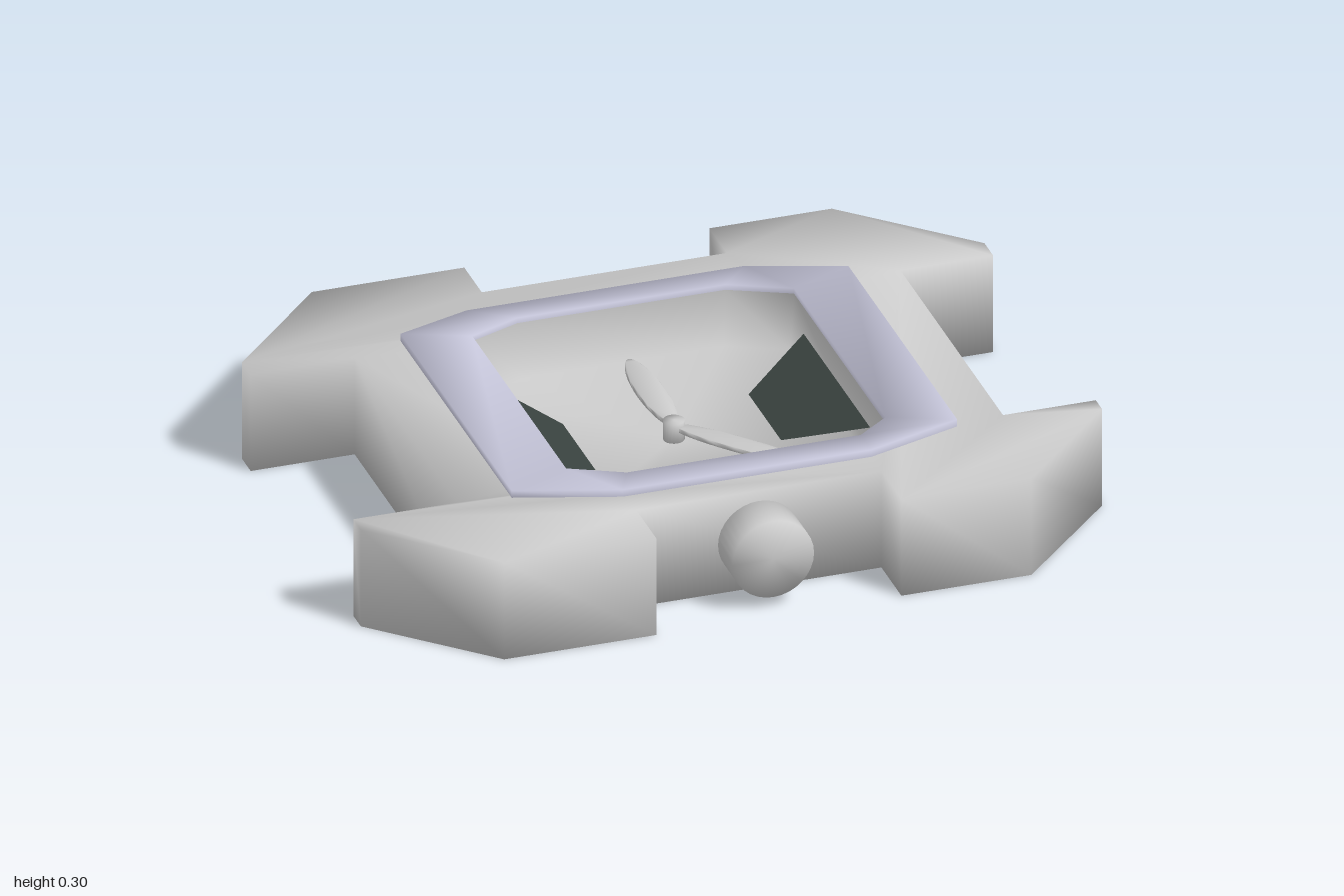
import * as THREE from 'three';
import { mergeGeometries } from 'three/addons/utils/BufferGeometryUtils.js';

const grey = new THREE.MeshStandardMaterial({ color: 0xcccccc });
const bezelMat = new THREE.MeshStandardMaterial({ color: 0xc4c4d8 });
const panelMat = new THREE.MeshStandardMaterial({ color: 0x39423f, side: THREE.DoubleSide });

// Plan outlines as [x, z]
const caseOutline = [
  [-0.71, -0.77], [-0.3, -0.77], [-0.3, -0.63], [0.36, -0.63], [0.36, -0.77], [0.69, -0.77],
  [1, -0.47], [1, -0.4], [0.75, -0.4], [0.75, 0.42], [1, 0.42], [1, 0.47],
  [0.71, 0.765], [0.36, 0.765], [0.36, 0.605], [-0.3, 0.605], [-0.3, 0.765], [-0.71, 0.765],
  [-1, 0.48], [-1, 0.42], [-0.72, 0.42], [-0.72, -0.4], [-1, -0.4], [-1, -0.47],
];
const bezelOuter = [
  [-0.58, -0.45], [-0.38, -0.515], [0.37, -0.515], [0.62, -0.43],
  [0.62, 0.44], [0.36, 0.525], [-0.31, 0.525], [-0.58, 0.44],
];
const bezelInner = [
  [-0.41, -0.38], [-0.27, -0.435], [0.29, -0.435], [0.45, -0.36],
  [0.45, 0.37], [0.36, 0.44], [-0.27, 0.44], [-0.41, 0.37],
];

const toPoints = (list) => list.map(([x, z]) => new THREE.Vector2(x, z));
const scaled = (list, s) => list.map(([x, z]) => [x * s, z * s]);

// Join pieces into one skin whose normals are shared at every corner
function smooth(...pieces) {
  const g = mergeGeometries(pieces.map((piece) => {
    const flat = piece.toNonIndexed();
    flat.deleteAttribute('uv');
    flat.deleteAttribute('normal');
    return flat;
  }));
  g.computeVertexNormals();
  const { position, normal } = g.attributes;
  const sums = new Map();
  const corners = [];
  for (let i = 0; i < position.count; i++) {
    const key = [position.getX(i), position.getY(i), position.getZ(i)].map((v) => Math.round(v * 1e4)).join();
    if (!sums.has(key)) sums.set(key, new THREE.Vector3());
    corners.push(sums.get(key).add(new THREE.Vector3().fromBufferAttribute(normal, i)));
  }
  corners.forEach((sum, i) => {
    const n = sum.clone().normalize();
    normal.setXYZ(i, n.x, n.y, n.z);
  });
  return g;
}

// Skin through closed rings of equal count; each ring is {pts, y}
function loft(rings) {
  const n = rings[0].pts.length;
  const pos = rings.flatMap(({ pts, y }) => pts.flatMap(([x, z]) => [x, y, z]));
  const idx = [];
  for (let i = 0; i < rings.length - 1; i++) {
    for (let j = 0; j < n; j++) {
      const a = i * n + j, b = i * n + ((j + 1) % n);
      idx.push(a, b + n, b, a, a + n, b + n);
    }
  }
  const g = new THREE.BufferGeometry();
  g.setAttribute('position', new THREE.Float32BufferAttribute(pos, 3));
  g.setIndex(idx);
  return g;
}

// Flat face at height y, facing up or down
function cap(outline, y, up, hole) {
  const shape = new THREE.Shape(toPoints(outline));
  if (hole) shape.holes.push(new THREE.Path(toPoints(hole)));
  const g = new THREE.ShapeGeometry(shape);
  g.rotateX(Math.PI / 2).translate(0, y, 0);
  if (up) g.index.array.reverse();
  return g;
}

// Upright prism between two heights, with an optional opening in its top
function prism(outline, y0, y1, hole) {
  return smooth(
    loft([{ pts: outline, y: y0 }, { pts: outline, y: y1 }]),
    cap(outline, y0, false),
    cap(outline, y1, true, hole),
  );
}

// Leaf-shaped hand from the centre to a tip
function hand(tipX, tipZ, halfWidth, y) {
  const w = halfWidth / Math.hypot(tipX, tipZ);
  const outline = Array.from({ length: 32 }, (_, i) => {
    const t = (i / 32) * Math.PI * 2;
    const along = 0.5 + 0.5 * Math.cos(t), across = w * Math.sin(t);
    return [tipX * along - tipZ * across, tipZ * along + tipX * across];
  });
  return prism(outline, y, y + 0.012);
}

function add(group, name, geometry, material = grey) {
  const mesh = new THREE.Mesh(geometry, material);
  mesh.name = name;
  group.add(mesh);
  return mesh;
}

export function createModel() {
  const model = new THREE.Group();
  model.name = 'watchHead';

  // Case with four lugs and an opening for the dial
  add(model, 'case', prism(caseOutline, 0, 0.28, bezelInner));

  // Dial bowl set into the opening
  add(model, 'dial', smooth(loft([
    { pts: bezelInner, y: 0.285 },
    { pts: scaled(bezelInner, 0.97), y: 0.13 },
    { pts: scaled(bezelInner, 0), y: 0.125 },
  ])));

  // Low flat bezel
  add(model, 'bezel', smooth(loft([
    { pts: bezelOuter, y: 0.275 },
    { pts: bezelOuter, y: 0.3 },
    { pts: bezelInner, y: 0.3 },
    { pts: bezelInner, y: 0.275 },
  ])), bezelMat);

  // Dark sloping panels at both sides of the dial
  for (const [name, outer, inner] of [['leftPanel', 0.45, 0.25], ['rightPanel', -0.41, -0.25]]) {
    const g = new THREE.BufferGeometry();
    g.setAttribute('position', new THREE.Float32BufferAttribute([
      outer, 0.22, -0.27, outer, 0.22, 0.27, inner, 0.145, 0.13, inner, 0.145, -0.13,
    ], 3));
    g.setIndex(outer > 0 ? [0, 2, 1, 0, 3, 2] : [0, 1, 2, 0, 2, 3]);
    g.computeVertexNormals();
    add(model, name, g, panelMat);
  }

  // Hands on a short central pin
  const hands = new THREE.Group();
  hands.name = 'hands';
  hands.position.x = 0.005;
  add(hands, 'hourHand', hand(0.255, 0.295, 0.03, 0.155));
  add(hands, 'minuteHand', hand(0, -0.36, 0.037, 0.16));
  add(hands, 'pin', smooth(new THREE.CylinderGeometry(0.028, 0.028, 0.06, 20))).position.y = 0.15;
  model.add(hands);

  // Winding crown on the front
  const crown = add(model, 'crown', smooth(new THREE.CylinderGeometry(0.11, 0.11, 0.14, 32)));
  crown.rotation.x = Math.PI / 2;
  crown.position.set(0.03, 0.14, 0.65);

  return model;
}
